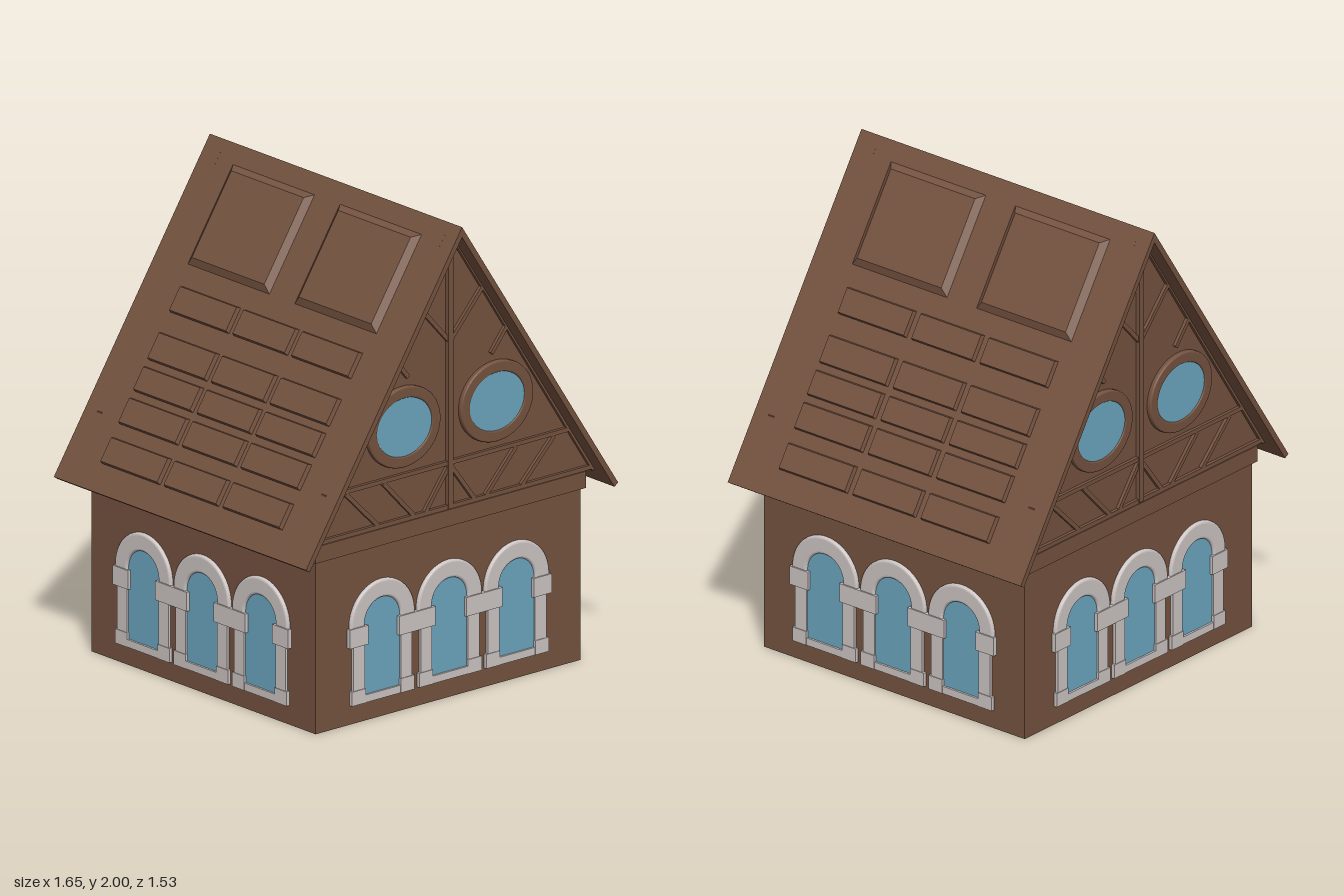
import * as THREE from 'three';

const brown = new THREE.MeshStandardMaterial({ name: 'brown wood', color: 0x755340 });
const stone = new THREE.MeshStandardMaterial({ name: 'pale stone', color: 0xcdc5c3 });
const glass = new THREE.MeshStandardMaterial({ name: 'blue glass', color: 0x6ca6c0 });

function add(parent, name, geometry, material) {
  const mesh = new THREE.Mesh(geometry, material);
  mesh.name = name;
  parent.add(mesh);
  return mesh;
}

// Box given by its limits
function block(parent, name, material, x0, x1, y0, y1, z0, z1) {
  const mesh = add(parent, name, new THREE.BoxGeometry(x1 - x0, y1 - y0, z1 - z0), material);
  mesh.position.set((x0 + x1) / 2, (y0 + y1) / 2, (z0 + z1) / 2);
  return mesh;
}

// Polygon extruded evenly about z = 0
function prism(points, depth) {
  const shape = new THREE.Shape(points.map(([x, y]) => new THREE.Vector2(x, y)));
  return new THREE.ExtrudeGeometry(shape, { depth, bevelEnabled: false }).translate(0, 0, -depth / 2);
}

// Flat timber between two points on the gable
function beam(parent, x0, y0, x1, y1, width = 0.018, depth = 0.014) {
  const length = Math.hypot(x1 - x0, y1 - y0);
  const mesh = add(parent, 'gableBeam', new THREE.BoxGeometry(length, width, depth * 2), brown);
  mesh.position.set((x0 + x1) / 2, (y0 + y1) / 2, 0);
  mesh.rotation.z = Math.atan2(y1 - y0, x1 - x0);
}

// Raised roof panel with sloping edges, lying in the local xz plane
function roofPanel(parent, name, x0, x1, z0, z1, height, bevel) {
  const w = (x1 - x0) / 2 - bevel, h = (z1 - z0) / 2 - bevel;
  const shape = new THREE.Shape([[-w, -h], [w, -h], [w, h], [-w, h]].map(p => new THREE.Vector2(...p)));
  const geometry = new THREE.ExtrudeGeometry(shape, {
    depth: 0.01, bevelThickness: height, bevelSize: bevel, bevelSegments: 1,
  }).rotateX(-Math.PI / 2).translate((x0 + x1) / 2, -0.01, (z0 + z1) / 2);
  add(parent, name, geometry, brown);
}

// One arched window on a wall at z = 0
function archedWindow() {
  const group = new THREE.Group();
  group.name = 'archedWindow';

  const pane = new THREE.Shape();
  pane.moveTo(-0.11, 0.1);
  pane.lineTo(0.11, 0.1);
  pane.lineTo(0.11, 0.41);
  pane.absarc(0, 0.41, 0.11, 0, Math.PI);
  add(group, 'windowGlass', new THREE.ExtrudeGeometry(pane, { depth: 0.004, bevelEnabled: false, curveSegments: 16 }), glass);

  // Half-ring arch with a rounded edge
  const arch = new THREE.Shape();
  arch.absarc(0, 0.41, 0.16, 0, Math.PI);
  arch.absarc(0, 0.41, 0.105, Math.PI, 0, true);
  add(group, 'windowArch', new THREE.ExtrudeGeometry(arch, {
    depth: 0.005, bevelThickness: 0.01, bevelSize: 0.01, bevelSegments: 3, curveSegments: 16,
  }), stone);

  block(group, 'windowSill', stone, -0.165, 0.165, 0.08, 0.112, 0, 0.013);
  for (const s of [-1, 1]) {
    const column = block(group, 'windowColumn', stone, -0.03, 0.03, 0.1, 0.34, 0, 0.012);
    column.position.x = s * 0.125;
    const foot = block(group, 'columnFoot', stone, -0.036, 0.036, 0.08, 0.14, 0, 0.015);
    foot.position.x = s * 0.129;
    const capital = block(group, 'columnCapital', stone, -0.048, 0.048, 0.325, 0.405, 0, 0.018);
    capital.position.x = s * 0.13;
  }
  return group;
}

// Three windows in a row
function windowRow() {
  const row = new THREE.Group();
  row.name = 'windowRow';
  for (const x of [-0.355, 0, 0.355]) {
    const w = archedWindow();
    w.position.x = x;
    row.add(w);
  }
  return row;
}

// Timbers and oval windows of one gable, on a face at z = 0
function gableFront() {
  const group = new THREE.Group();
  group.name = 'gableFront';
  beam(group, 0, 0.8, 0, 1.95, 0.028, 0.018);
  beam(group, -0.66, 0.99, 0.66, 0.99);
  beam(group, -0.76, 0.805, 0.76, 0.805);
  for (const s of [-1, 1]) {
    beam(group, s * 0.765, 0.795, s * 0.012, 1.955, 0.03);
    beam(group, s * 0.18, 1.7, 0, 1.5);
    beam(group, s * 0.31, 1.51, s * 0.22, 1.4);
    beam(group, s * 0.55, 0.98, s * 0.38, 0.81);
    beam(group, s * 0.35, 0.98, s * 0.19, 0.81);
    beam(group, s * 0.13, 0.81, s * 0.01, 0.97);

    // Oval window: a stepped ring around the pane
    const oval = new THREE.Group();
    oval.name = 'ovalWindow';
    oval.position.set(s * 0.245, 1.195, 0);
    const ring = new THREE.Shape().absellipse(0, 0, 0.185, 0.163, 0, Math.PI * 2);
    ring.holes.push(new THREE.Path().absellipse(0, 0, 0.15, 0.128, 0, Math.PI * 2));
    add(oval, 'ovalFrame', new THREE.ExtrudeGeometry(ring, {
      depth: 0.012, bevelThickness: 0.008, bevelSize: 0.006, bevelSegments: 3, curveSegments: 32,
    }), brown);
    const pane = add(oval, 'ovalGlass', new THREE.CircleGeometry(1, 48), glass);
    pane.scale.set(0.152, 0.13, 1);
    pane.position.z = 0.015;
    group.add(oval);
  }
  return group;
}

export function createModel() {
  const house = new THREE.Group();
  house.name = 'house';

  // Walls and the ledge above them
  block(house, 'walls', brown, -0.7, 0.7, 0, 0.78, -0.68, 0.68);
  block(house, 'wallLedge', brown, -0.715, 0.715, 0.725, 0.795, -0.697, 0.697);

  // Attic and roof covering
  add(house, 'attic', prism([[-0.765, 0.79], [0.765, 0.79], [0, 1.965]], 1.36), brown);
  add(house, 'roof', prism([
    [0, 2], [-0.825, 0.74], [-0.805, 0.727], [0, 1.957], [0.805, 0.727], [0.825, 0.74],
  ], 1.53), brown);

  // Raised panels and slats on both slopes
  const slope = Math.atan2(1.26, 0.825);
  const along = y => (2 - y) / Math.sin(slope);
  for (const turn of [0, Math.PI]) {
    const side = new THREE.Group();
    side.name = 'roofSide';
    side.rotation.y = turn;
    const face = new THREE.Group();
    face.name = 'roofPanels';
    face.position.y = 2;
    face.rotation.z = -slope;
    for (const [z0, z1] of [[-0.572, -0.077], [0.077, 0.572]])
      roofPanel(face, 'largePanel', along(1.93), along(1.565), z0, z1, 0.022, 0.028);
    for (const [y0, y1] of [[1.385, 1.48], [1.21, 1.31], [1.095, 1.185], [0.975, 1.07], [0.83, 0.925]])
      for (const [z0, z1] of [[-0.547, -0.193], [-0.163, 0.163], [0.193, 0.547]])
        roofPanel(face, 'roofSlat', along(y1) - 0.01, along(y0) - 0.01, z0, z1, 0.018, 0.005);
    side.add(face);
    house.add(side);
  }

  // Gables on two sides, windows on all four
  for (let i = 0; i < 4; i++) {
    const side = new THREE.Group();
    side.name = 'houseSide';
    side.rotation.y = i * Math.PI / 2;
    const row = windowRow();
    row.position.z = i % 2 ? 0.7 : 0.68;
    side.add(row);
    if (i % 2 === 0) {
      const gable = gableFront();
      gable.position.z = 0.68;
      side.add(gable);
    }
    house.add(side);
  }
  return house;
}
